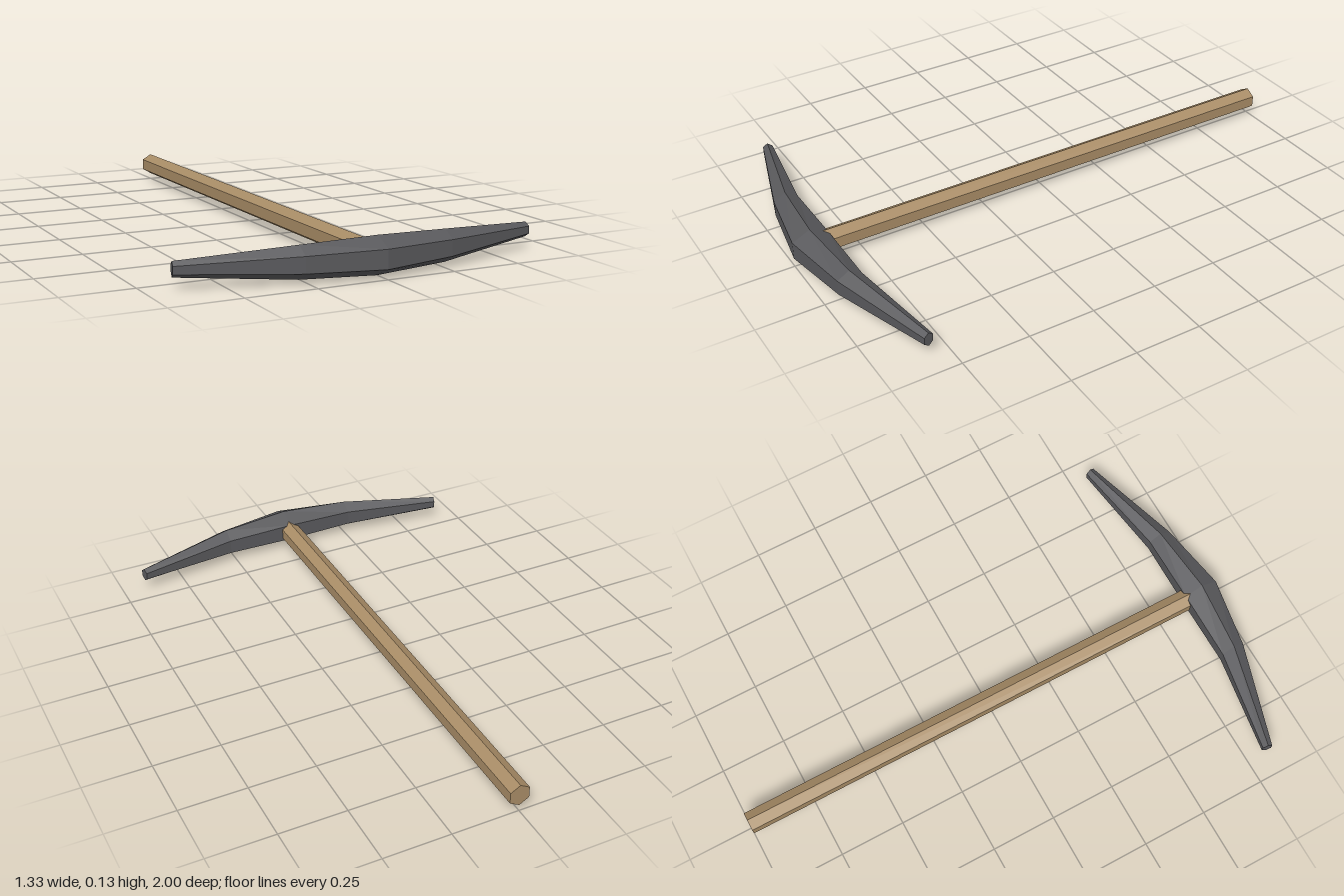
import * as THREE from 'three';

const AXIS_Y = 0.069;

// Hexagonal loops along x: [x, back z, front z, half height, lean of the end face]
function headGeometry() {
  const half = [
    [0.27, 0.865, 0.955, 0.056, 0],
    [0.661, 0.803, 0.838, 0.026, 0.004],
  ];
  const mirrored = half.map(([x, b, f, r, t]) => [-x, b, f, r, -t]).reverse();
  const sections = [...mirrored, [0, 0.865, 1, 0.066, 0], ...half];
  const positions = [];
  for (const [x, back, front, r, lean] of sections) {
    for (let k = 0; k < 6; k++) {
      const a = (k * Math.PI) / 3;
      const s = Math.sin(a) / Math.sin(Math.PI / 3);
      positions.push(x + lean * s, AXIS_Y + r * Math.cos(a), (back + front) / 2 + (s * (front - back)) / 2);
    }
  }
  const index = [];
  const last = (sections.length - 1) * 6;
  for (let i = 0; i < last; i += 6) {
    for (let k = 0; k < 6; k++) {
      const n = (k + 1) % 6;
      index.push(i + k, i + n, i + 6 + n, i + k, i + 6 + n, i + 6 + k);
    }
  }
  // Flat tips
  for (let k = 1; k < 5; k++) {
    index.push(0, k + 1, k, last, last + k, last + k + 1);
  }
  const indexed = new THREE.BufferGeometry();
  indexed.setAttribute('position', new THREE.Float32BufferAttribute(positions, 3));
  indexed.setIndex(index);
  const geometry = indexed.toNonIndexed();
  geometry.computeVertexNormals();
  return geometry;
}

export function createModel() {
  const wood = new THREE.MeshStandardMaterial({ color: 0xa88c66, flatShading: true });
  wood.name = 'wood';
  const iron = new THREE.MeshStandardMaterial({ color: 0x59595c, flatShading: true });
  iron.name = 'dark iron';

  const group = new THREE.Group();
  group.name = 'pickaxe';

  // Six-sided shaft, ridge up, its front end buried in the head
  const back = -1, front = 0.93;
  const shaft = new THREE.CylinderGeometry(0.042, 0.042, front - back, 6);
  shaft.rotateX(Math.PI / 2);
  const handle = new THREE.Mesh(shaft, wood);
  handle.name = 'handle';
  handle.position.set(0, AXIS_Y, (front + back) / 2);
  group.add(handle);

  // Swept-back tapering head
  const head = new THREE.Mesh(headGeometry(), iron);
  head.name = 'head';
  group.add(head);

  return group;
}
